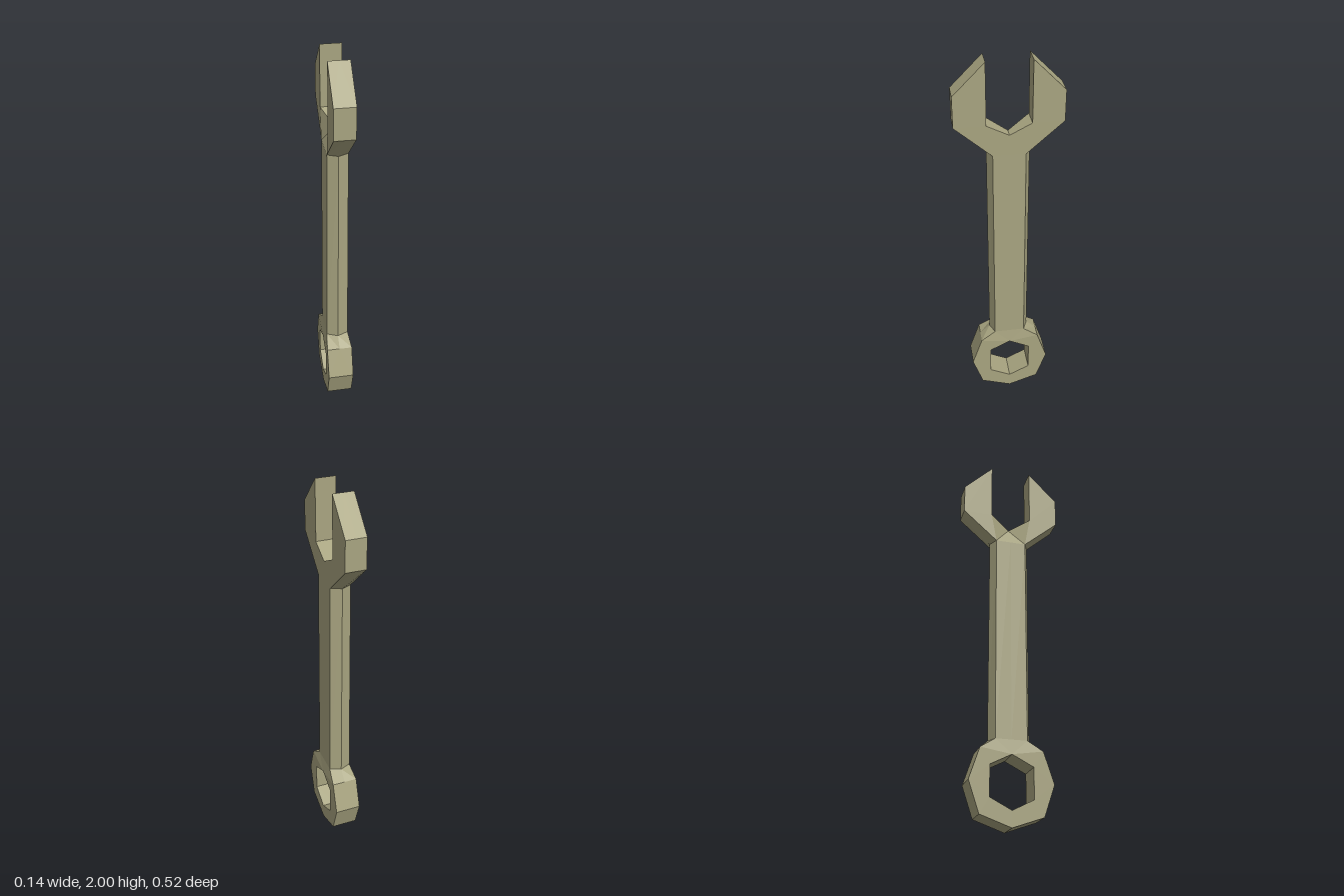
import * as THREE from 'three';

// Builds a part from one quarter (x > 0, z > 0) mirrored into all four quarters.
// quarter(face, strip, sx) lists corners counter-clockwise seen from outside.
function mirroredPart(name, material, quarter) {
  const pos = [];
  for (const sx of [1, -1]) for (const sz of [1, -1]) {
    const face = (...pts) => {
      const p = pts.map(([x, y, z]) => [x * sx, y, z * sz]);
      if (sx * sz < 0) p.reverse();
      for (let i = 1; i < p.length - 1; i++) pos.push(...p[0], ...p[i], ...p[i + 1]);
    };
    // Half-thickness wall along an outline, from the side face to x = 0
    const strip = (...pts) => {
      for (let i = 0; i < pts.length - 1; i++) {
        const [a, b] = [pts[i], pts[i + 1]];
        face(a, [0, a[1], a[2]], b);
        face(b, [0, a[1], a[2]], [0, b[1], b[2]]);
      }
    };
    quarter(face, strip, sx);
  }
  const geometry = new THREE.BufferGeometry();
  geometry.setAttribute('position', new THREE.Float32BufferAttribute(pos, 3));
  geometry.computeVertexNormals();
  const mesh = new THREE.Mesh(geometry, material);
  mesh.name = name;
  return mesh;
}

export function createModel() {
  const group = new THREE.Group();
  group.name = 'wrench';
  const material = new THREE.MeshStandardMaterial({ color: 0xa8a480, flatShading: true });

  const w = 0.052, ringW = 0.068;
  const shaftTop = [w, 1.53, 0.08], shaftBottom = [0.058, 0.42, 0.08];
  const ridgeTop = [0, 1.53, 0.105], ridgeBottom = [0, 0.42, 0.105];

  // Open jaw; the throat slopes in to the middle on the -x side
  group.add(mirroredPart('openJaw', material, (face, strip, sx) => {
    const throat = [sx > 0 ? w : 0, 1.635, 0];
    const inner = [w, 1.69, 0.108], tip = [w, 2, 0.108];
    const upper = [w, 1.845, 0.262], lower = [w, 1.69, 0.262];
    face(tip, upper, lower, inner);
    face(inner, lower, shaftTop);
    face(inner, shaftTop, throat);
    face(throat, shaftTop, [w, 1.53, 0]);
    strip(throat, inner, tip, upper, lower);
    face(lower, [0, 1.69, 0.262], ridgeTop, shaftTop);
  }));

  // Six-sided handle with a ridge along each narrow side
  group.add(mirroredPart('handle', material, (face) => {
    face([w, 1.53, 0], shaftTop, shaftBottom, [0.058, 0.42, 0]);
    face(shaftTop, ridgeTop, ridgeBottom, shaftBottom);
  }));

  // Closed ring end with a hexagonal hole
  group.add(mirroredPart('ringEnd', material, (face, strip) => {
    const p = (y, z) => [ringW, y, z];
    const a = p(0.37, 0.157), b = p(0.212, 0.21), c = p(0.055, 0.157), d = p(0, 0);
    const h0 = p(0.345, 0), h1 = p(0.29, 0.108), h2 = p(0.135, 0.108), h3 = p(0.08, 0);
    face(h0, [0.058, 0.42, 0], shaftBottom);
    face(h0, shaftBottom, a);
    face(h0, a, h1);
    face(h1, a, b);
    face(h1, b, h2);
    face(h2, b, c);
    face(h2, c, d, h3);
    face(a, shaftBottom, ridgeBottom, [0, 0.37, 0.157]);
    strip(a, b, c, d);
    strip(h3, h2, h1, h0);
  }));

  return group;
}
